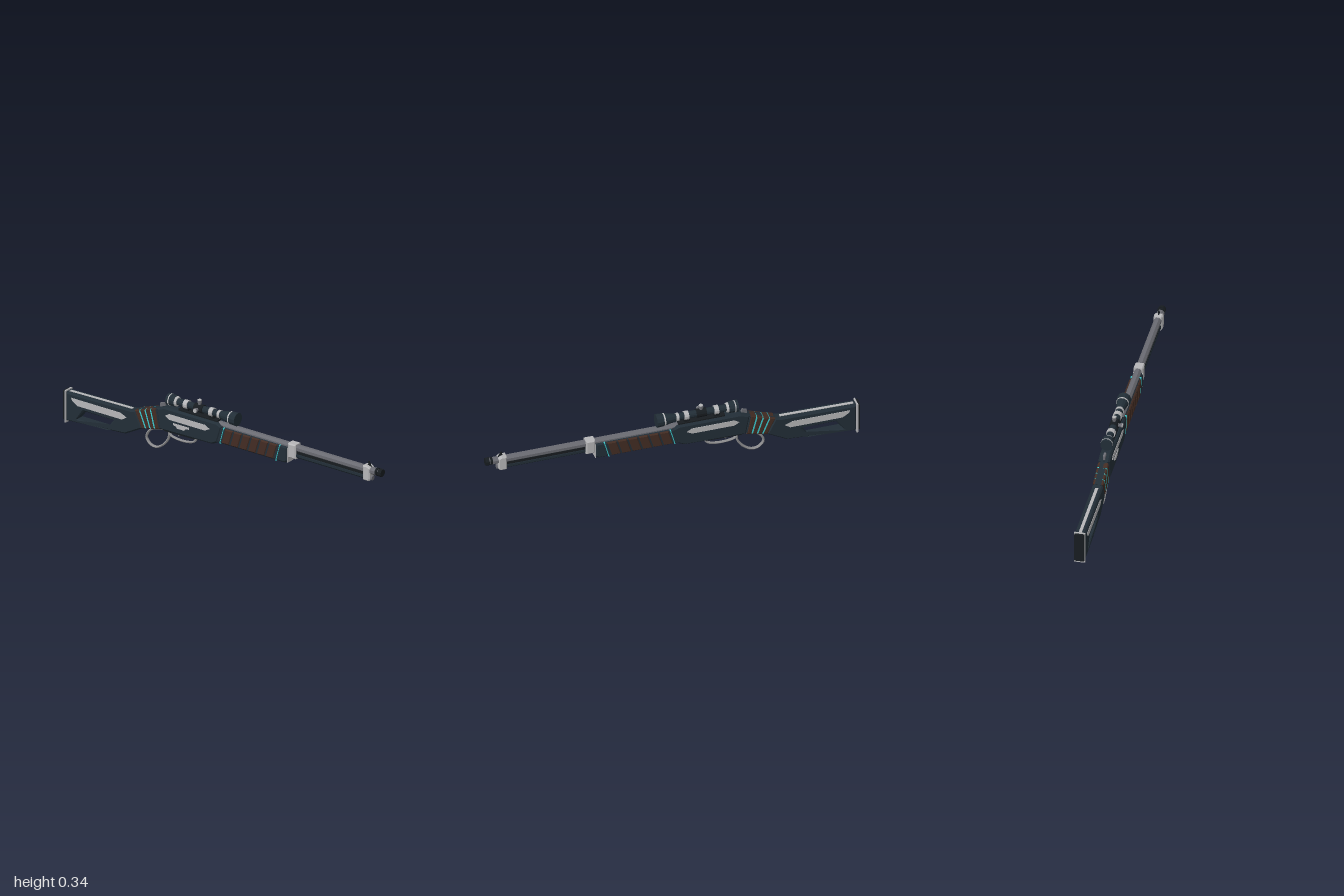
import * as THREE from 'three';

const mat = (name, color) => {
  const m = new THREE.MeshStandardMaterial({ color });
  m.name = name;
  return m;
};

export function createModel() {
  const root = new THREE.Group();
  root.name = 'leverRifle';
  const navy = mat('navy', 0x222e37), black = mat('black', 0x171c20), brown = mat('brown', 0x432c23);
  const silver = mat('silver', 0xb6b6b8), steel = mat('steel', 0x6a6b72), lever = mat('leverGrey', 0x8c8c8e);
  const cyan = mat('cyan', 0x3cc8cc);

  const add = (name, geo, m) => {
    const mesh = new THREE.Mesh(geo, m);
    mesh.name = name;
    root.add(mesh);
    return mesh;
  };
  const faceted = (geo) => {
    const g = geo.index ? geo.toNonIndexed() : geo;
    g.computeVertexNormals();
    return g;
  };
  const vecs = (pts) => pts.map(([x, y]) => new THREE.Vector2(x, y));

  // side profile extruded across z, with chamfered edges
  const slab = (name, pts, width, m, bevel = 0, hole) => {
    const shape = new THREE.Shape(vecs(pts));
    if (hole) shape.holes.push(new THREE.Path(vecs(hole)));
    const depth = width - 2 * bevel;
    const geo = new THREE.ExtrudeGeometry(shape, {
      depth, bevelEnabled: bevel > 0, bevelSize: bevel, bevelThickness: bevel, bevelOffset: -bevel, bevelSegments: 1,
    });
    geo.translate(0, 0, -depth / 2);
    return add(name, geo, m);
  };
  const rect = (x0, x1, y0, y1) => [[x0, y0], [x1, y0], [x1, y1], [x0, y1]];
  const mix = (a, b, t) => [a[0] + (b[0] - a[0]) * t, a[1] + (b[1] - a[1]) * t];
  // slanted band between two edge lines
  const band = (name, [t0, t1, b0, b1], s, e, width, m, bevel = 0) =>
    slab(name, [mix(b0, b1, s), mix(b0, b1, e), mix(t0, t1, e), mix(t0, t1, s)], width, m, bevel);
  // faceted rod along x
  const rod = (name, x0, x1, y, r0, r1, m, sides = 12) => {
    const g = new THREE.CylinderGeometry(r1, r0, x1 - x0, sides);
    g.rotateY(Math.PI / sides).rotateZ(-Math.PI / 2).translate((x0 + x1) / 2, y, 0);
    return add(name, faceted(g), m);
  };

  // butt stock with a slanted opening
  slab('stock', [[-0.98, 0.02], [-0.607, 0.045], [-0.5, 0.103], [-0.545, 0.192], [-0.57, 0.187], [-0.98, 0.18]],
    0.056, navy, 0.008, [[-0.91, 0.046], [-0.87, 0.1], [-0.682, 0.1], [-0.722, 0.046]]);
  slab('stockSideInlay', [[-0.905, 0.122], [-0.625, 0.122], [-0.595, 0.141], [-0.637, 0.158], [-0.945, 0.158], [-0.94, 0.145]],
    0.06, silver);
  slab('stockTopInlay', [[-0.97, 0.17], [-0.575, 0.176], [-0.575, 0.19], [-0.97, 0.183]], 0.016, silver);
  slab('buttPlate', rect(-1, -0.986, 0.022, 0.183), 0.054, black, 0.004);
  slab('buttRim', rect(-0.988, -0.98, 0.008, 0.187), 0.058, silver);

  // wrapped wrist
  const wrist = [[-0.55, 0.193], [-0.405, 0.243], [-0.505, 0.102], [-0.385, 0.13]];
  band('wrist', wrist, 0, 1, 0.05, navy, 0.008);
  for (let i = 0; i < 4; i++) {
    const s = 0.02 + i * 0.235;
    band('wristWrap', wrist, s, s + 0.205, 0.056, brown, 0.005);
    if (i < 3) band('wristStripe', wrist, s + 0.207, s + 0.232, 0.055, cyan, 0.006);
  }

  // receiver
  slab('receiver', [[-0.39, 0.13], [-0.06, 0.135], [-0.025, 0.152], [0.005, 0.248], [-0.03, 0.262],
    [-0.36, 0.262], [-0.41, 0.243]], 0.06, navy, 0.009);
  slab('receiverInlay', [[-0.325, 0.202], [-0.1, 0.202], [-0.07, 0.218], [-0.1, 0.234], [-0.325, 0.234], [-0.352, 0.218]],
    0.064, silver);
  const port = slab('loadingPort', [[-0.275, 0.166], [-0.23, 0.166], [-0.222, 0.176], [-0.2, 0.18], [-0.2, 0.19],
    [-0.3, 0.19], [-0.3, 0.18], [-0.282, 0.176]], 0.006, silver);
  port.position.z = 0.03;
  slab('hammer', [[-0.4, 0.235], [-0.365, 0.25], [-0.375, 0.275], [-0.4, 0.268]], 0.012, steel);

  // fore-end with slanted grip panels
  slab('foreEnd', [[-0.035, 0.152], [0.4, 0.152], [0.415, 0.165], [0.415, 0.245], [-0.01, 0.247]], 0.054, navy, 0.009);
  const fore = [[0.022, 0.242], [0.358, 0.242], [-0.002, 0.158], [0.332, 0.158]];
  for (let i = 0; i < 6; i++) band('foreGripPanel', fore, i / 6 + 0.008, (i + 1) / 6 - 0.008, 0.062, brown, 0.006);
  for (const x of [-0.013, 0.34])
    slab('foreStripe', [[x, 0.151], [x + 0.007, 0.151], [x + 0.033, 0.246], [x + 0.026, 0.246]], 0.058, cyan, 0.003);
  slab('foreEndCap', rect(0.413, 0.418, 0.158, 0.24), 0.05, silver);

  // barrel, magazine tube and bands
  rod('barrel', -0.04, 0.965, 0.245, 0.02, 0.02, steel, 8);
  rod('magazineTube', 0.4, 0.925, 0.208, 0.018, 0.018, navy, 8);
  slab('barrelRib', rect(0.43, 0.9, 0.216, 0.232), 0.03, black);
  slab('rearBand', rect(0.417, 0.466, 0.188, 0.268), 0.05, silver, 0.006);
  slab('frontBand', [[0.888, 0.188], [0.925, 0.188], [0.933, 0.2], [0.933, 0.262], [0.915, 0.272], [0.888, 0.268]],
    0.046, silver, 0.006);
  rod('magazineCap', 0.925, 0.94, 0.205, 0.016, 0.013, steel, 8);
  slab('frontSight', [[0.9, 0.265], [0.93, 0.265], [0.922, 0.278], [0.915, 0.292], [0.908, 0.29], [0.912, 0.278]], 0.007, black);
  rod('muzzle', 0.962, 0.974, 0.247, 0.021, 0.021, black, 8);
  rod('muzzleGroove', 0.974, 0.98, 0.247, 0.017, 0.017, steel, 8);
  rod('muzzle', 0.98, 1, 0.247, 0.022, 0.02, black, 8);

  // lever loop and trigger guard
  const tube = (name, pts, closed, m, r) => {
    const curve = new THREE.CatmullRomCurve3(pts.map(([x, y]) => new THREE.Vector3(x, y, 0)), closed, 'centripetal');
    const g = new THREE.TubeGeometry(curve, 40, r, 6, closed);
    g.scale(1, 1, 1.4);
    return add(name, faceted(g), m);
  };
  tube('leverLoop', [[-0.35, 0.122], [-0.348, 0.09], [-0.375, 0.045], [-0.425, 0.012], [-0.465, 0.018],
    [-0.49, 0.052], [-0.465, 0.098], [-0.42, 0.118]], true, lever, 0.0065);
  tube('triggerGuard', [[-0.35, 0.122], [-0.335, 0.101], [-0.28, 0.09], [-0.22, 0.094], [-0.185, 0.108], [-0.172, 0.138]],
    false, lever, 0.006);
  tube('trigger', [[-0.272, 0.14], [-0.275, 0.125], [-0.288, 0.11]], false, steel, 0.0045);
  slab('leverPlate', [[-0.37, 0.12], [-0.18, 0.124], [-0.16, 0.14], [-0.37, 0.138]], 0.026, black);

  // scope
  const sy = 0.302;
  rod('scopeEyepiece', -0.35, -0.3, sy, 0.032, 0.03, navy);
  rod('eyepieceRing', -0.337, -0.331, sy, 0.0325, 0.0325, silver);
  rod('eyepieceCollar', -0.3, -0.288, sy, 0.028, 0.024, silver);
  rod('scopeTube', -0.29, -0.02, sy, 0.019, 0.019, navy);
  rod('scopeBell', -0.02, 0.04, sy, 0.02, 0.032, navy);
  rod('objectiveRing', 0.04, 0.048, sy, 0.034, 0.034, silver);
  rod('objective', 0.048, 0.086, sy, 0.034, 0.036, navy);
  rod('tubeRing', -0.035, -0.02, sy, 0.022, 0.022, silver);
  rod('turretHousing', -0.182, -0.128, sy, 0.023, 0.023, black);
  for (const x of [-0.235, -0.075]) {
    rod('mountRing', x - 0.012, x + 0.012, sy, 0.024, 0.024, silver);
    slab('mountFoot', rect(x - 0.016, x + 0.016, 0.266, 0.288), 0.03, black, 0.003);
  }
  slab('scopeRail', rect(-0.28, -0.03, 0.258, 0.272), 0.034, black, 0.003);

  // adjustment turrets, one on top and one on the left side
  const knob = (name, r, from, to, m, side) => {
    const g = new THREE.CylinderGeometry(r, r, to - from, 10).translate(0, (from + to) / 2, 0);
    if (side) g.rotateX(Math.PI / 2);
    g.translate(-0.155, sy, 0);
    add(name, faceted(g), m);
  };
  for (const side of [false, true]) {
    const top = side ? 0.045 : 0.048;
    knob('turretStem', 0.009, 0.015, 0.034, steel, side);
    knob('turretKnob', 0.0125, 0.032, top - 0.004, steel, side);
    knob('turretCap', 0.011, top - 0.004, top, silver, side);
  }

  root.position.z = -0.002;
  const model = new THREE.Group();
  model.name = 'model';
  model.add(root);
  return model;
}
